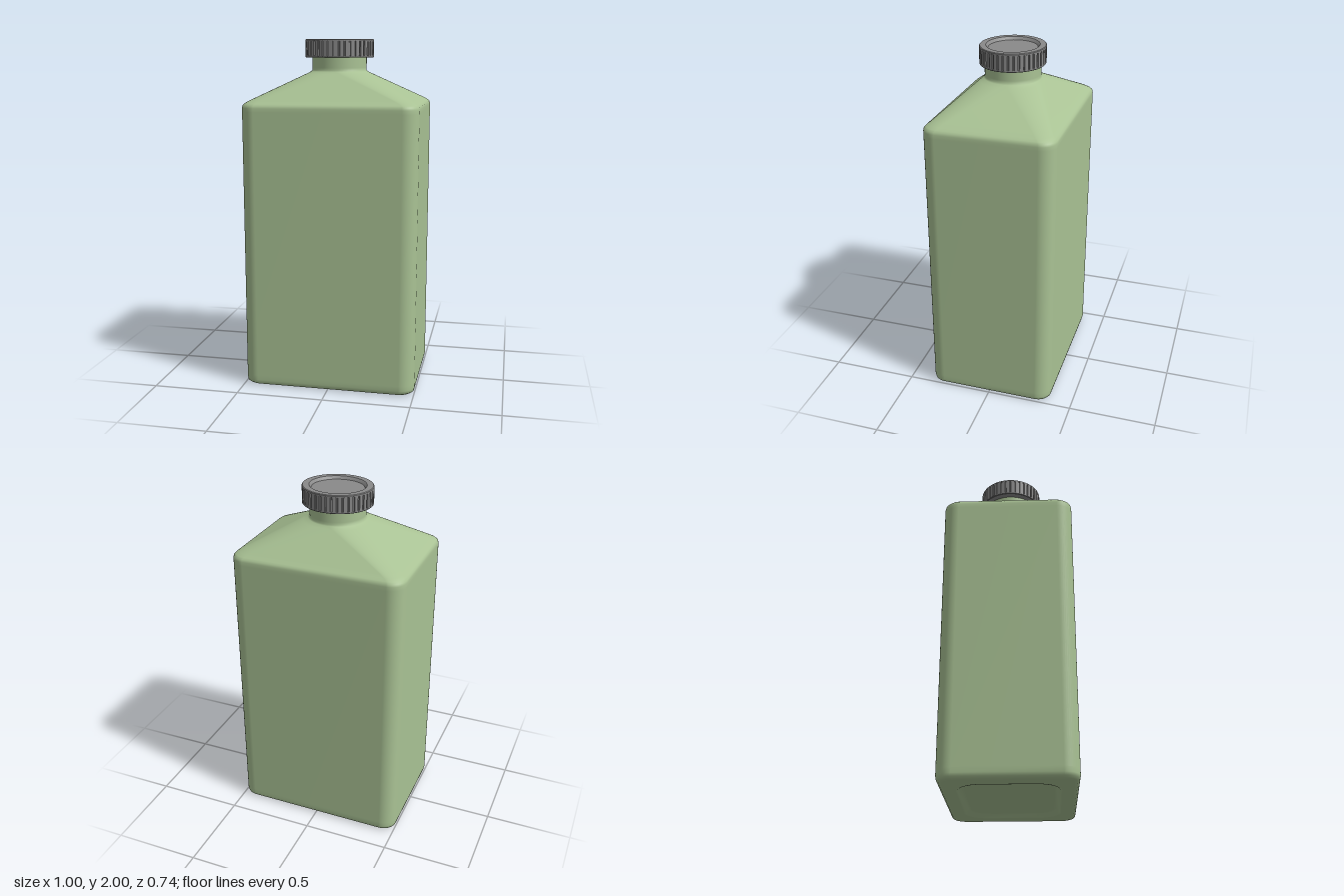
import * as THREE from 'three';
import { mergeVertices, toCreasedNormals } from 'three/addons/utils/BufferGeometryUtils.js';

const CORNER_STEPS = 12;

// Rounded rectangle outline; becomes a circle when hx = hz = r
function ring([y, hx, hz, r]) {
  const points = [];
  for (let q = 0; q < 4; q++) {
    const sx = q === 0 || q === 3 ? 1 : -1;
    const sz = q < 2 ? 1 : -1;
    for (let i = 0; i <= CORNER_STEPS; i++) {
      const a = (q + i / CORNER_STEPS) * Math.PI / 2;
      points.push(sx * (hx - r) + r * Math.cos(a), y, sz * (hz - r) + r * Math.sin(a));
    }
  }
  return points;
}

// Smooth skin through a stack of rings
function loft(sections) {
  const n = 4 * (CORNER_STEPS + 1);
  const index = [];
  for (let i = 0; i < sections.length - 1; i++) {
    for (let j = 0; j < n; j++) {
      const a = i * n + j, b = i * n + (j + 1) % n;
      index.push(a, a + n, b, b, a + n, b + n);
    }
  }
  const geometry = new THREE.BufferGeometry();
  geometry.setAttribute('position', new THREE.Float32BufferAttribute(sections.flatMap(ring), 3));
  geometry.setIndex(index);
  const merged = mergeVertices(geometry, 1e-5);
  merged.computeVertexNormals();
  return merged;
}

function createBody() {
  // [y, half width, half depth, corner radius], from the base recess to the neck
  return loft([
    [0.02, 0, 0, 0],
    [0.02, 0.34, 0.235, 0.11],
    [0.02, 0.355, 0.25, 0.12],
    [0.002, 0.375, 0.27, 0.13],
    [0, 0.385, 0.28, 0.13],
    [0, 0.455, 0.325, 0.06],
    [0, 0.468, 0.338, 0.065],
    [0.004, 0.484, 0.353, 0.075],
    [0.014, 0.496, 0.364, 0.08],
    [0.032, 0.5, 0.368, 0.085],
    [0.06, 0.5, 0.368, 0.085],
    [1.6, 0.5, 0.368, 0.085],
    [1.622, 0.5, 0.368, 0.085],
    [1.636, 0.497, 0.365, 0.083],
    [1.646, 0.488, 0.355, 0.08],
    [1.656, 0.472, 0.341, 0.078],
    [1.67, 0.446, 0.325, 0.082],
    [1.806, 0.186, 0.172, 0.15],
    [1.818, 0.165, 0.16, 0.157],
    [1.826, 0.157, 0.157, 0.157],
    [1.84, 0.157, 0.157, 0.157],
    [1.93, 0.157, 0.157, 0.157],
  ]);
}

// Band of raised grips separated by narrow grooves
function createGrips(count, outer, inner, height) {
  const shape = new THREE.Shape();
  const step = Math.PI * 2 / count;
  for (let i = 0; i < count; i++) {
    [[0, inner], [0.2, inner], [0.27, outer], [0.6, outer], [0.93, outer]].forEach(([t, r], k) => {
      const a = (i + t) * step;
      shape[i + k === 0 ? 'moveTo' : 'lineTo'](r * Math.cos(a), r * Math.sin(a));
    });
  }
  shape.closePath();
  shape.holes.push(new THREE.Path().absarc(0, 0, 0.17, 0, Math.PI * 2, true));
  return new THREE.ExtrudeGeometry(shape, { depth: height, bevelEnabled: false, curveSegments: 24 })
    .rotateX(-Math.PI / 2);
}

export function createModel() {
  const model = new THREE.Group();
  const green = new THREE.MeshStandardMaterial({ color: 0xa9c294, side: THREE.DoubleSide });
  const grey = new THREE.MeshStandardMaterial({ color: 0x8a8a8a, side: THREE.DoubleSide });

  const body = new THREE.Mesh(createBody(), green);
  body.name = 'bottleBody';
  model.add(body);

  // Slightly oval screw cap
  const cap = new THREE.Group();
  cap.name = 'cap';
  cap.scale.z = 0.925;
  model.add(cap);

  // Cap shell with a lower lip, top rim and sunken centre disc
  const profile = [
    [0.158, 1.93], [0.158, 1.898], [0.196, 1.898], [0.199, 1.901], [0.199, 1.908],
    [0.191, 1.908], [0.191, 1.988], [0.199, 1.988], [0.199, 1.996], [0.195, 2],
    [0.16, 2], [0.156, 1.997], [0.147, 1.984], [0, 1.984],
  ].map(([x, y]) => new THREE.Vector2(x, y));
  const shell = new THREE.Mesh(toCreasedNormals(new THREE.LatheGeometry(profile, 64), 0.5), grey);
  shell.name = 'capShell';
  cap.add(shell);

  const grips = new THREE.Mesh(createGrips(40, 0.199, 0.192, 0.082), grey);
  grips.name = 'capGrips';
  grips.position.y = 1.907;
  cap.add(grips);

  return model;
}
